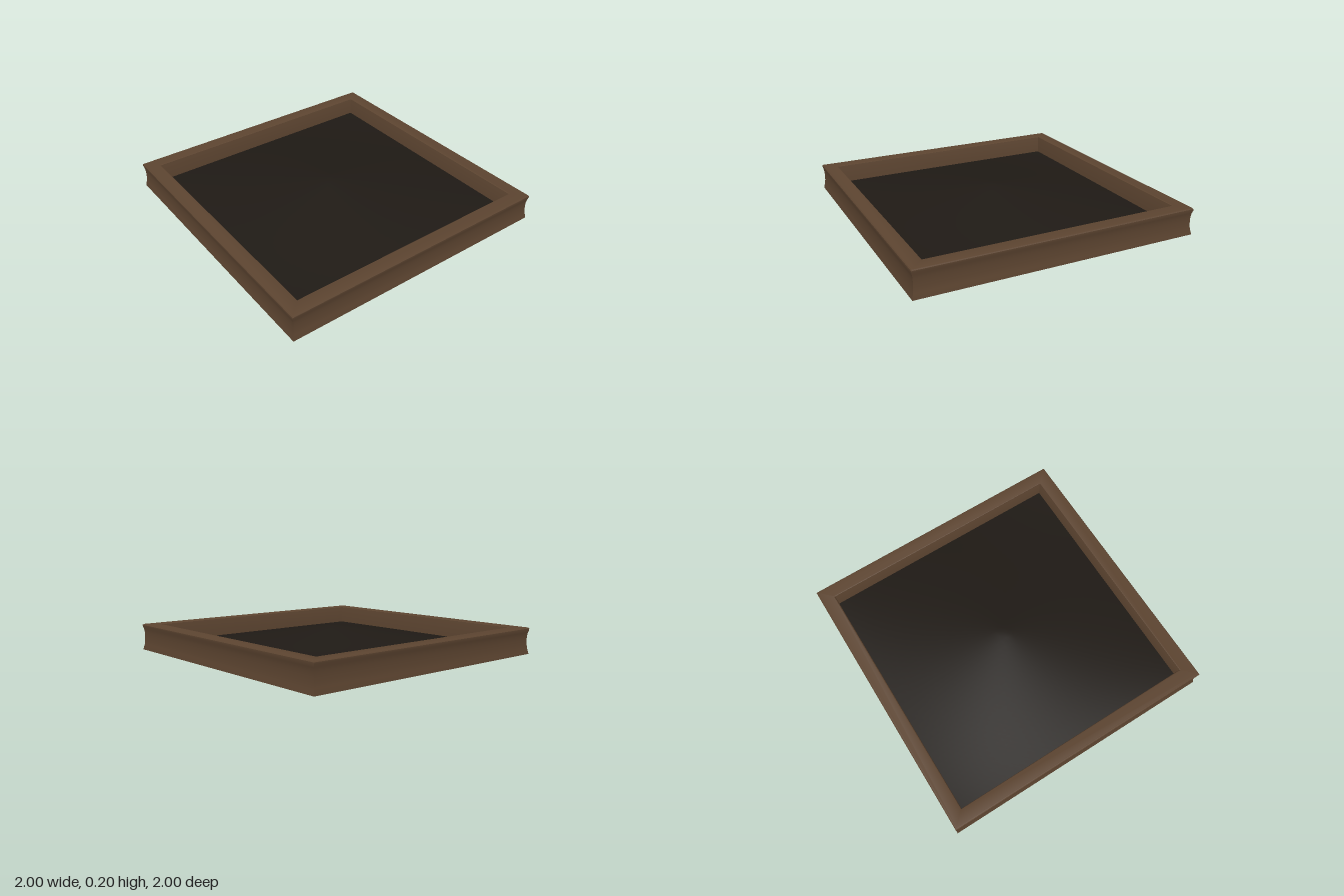
import * as THREE from 'three';
import { toCreasedNormals } from 'three/addons/utils/BufferGeometryUtils.js';

export function createModel() {
  const group = new THREE.Group();
  const wood = new THREE.MeshStandardMaterial({ color: 0x5c4430, side: THREE.DoubleSide });
  const dark = new THREE.MeshStandardMaterial({ color: 0x1f1a15, side: THREE.DoubleSide });

  // Square frame, open underneath: [half width, height] up the scooped outside,
  // across the rounded rim and down the inside, swept round four mitred corners
  const profile = [
    [1, 0], [0.998, 0.015], [0.992, 0.04], [0.989, 0.07], [0.988, 0.1], [0.989, 0.13],
    [0.993, 0.155], [0.999, 0.175], [0.999, 0.185], [0.994, 0.191], [0.985, 0.193],
    [0.905, 0.193], [0.899, 0.19], [0.896, 0.18], [0.896, 0]
  ].map(([r, y]) => new THREE.Vector2(r * Math.SQRT2, y));
  const frame = new THREE.Mesh(
    toCreasedNormals(new THREE.LatheGeometry(profile, 4, Math.PI / 4), 0.6), wood);
  frame.name = 'frame';
  group.add(frame);

  // Gently mounded filling, low at the walls and highest in the middle
  const half = 0.9, edgeY = 0.06, rise = 0.14;
  const mound = new THREE.PlaneGeometry(2 * half, 2 * half, 40, 40).rotateX(-Math.PI / 2);
  const p = mound.attributes.position;
  for (let i = 0; i < p.count; i++) {
    const a = p.getX(i) / half, b = p.getZ(i) / half;
    const u = Math.max(0, Math.min(1, 1 - (1 - a * a) * (1 - b * b)));
    p.setY(i, edgeY + rise * (1 - Math.pow(u, 0.55)));
  }
  mound.computeVertexNormals();
  const filling = new THREE.Mesh(mound, dark);
  filling.name = 'filling';
  group.add(filling);

  return group;
}
